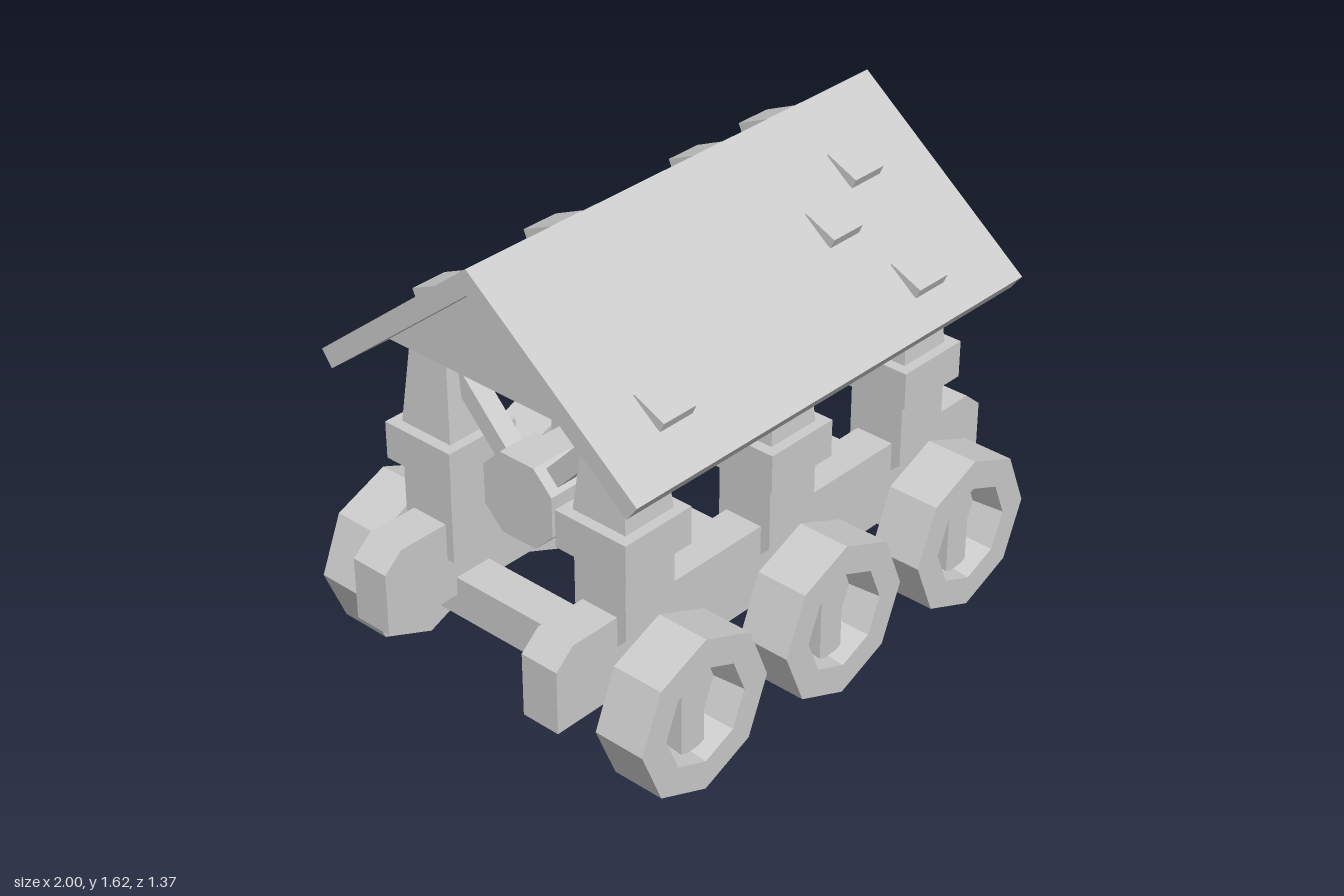
import * as THREE from 'three';

const material = new THREE.MeshStandardMaterial({ color: 0xcccccc, flatShading: true });

function add(parent, name, geometry, x = 0, y = 0, z = 0) {
  const mesh = new THREE.Mesh(geometry, material);
  mesh.name = name;
  mesh.position.set(x, y, z);
  parent.add(mesh);
  return mesh;
}

const box = (w, h, d) => new THREE.BoxGeometry(w, h, d);

// Extrudes an outline centred on its own depth axis
function prism(points, depth) {
  const shape = new THREE.Shape(points.map(([x, y]) => new THREE.Vector2(x, y)));
  const geometry = new THREE.ExtrudeGeometry(shape, { depth, bevelEnabled: false });
  return geometry.translate(0, 0, -depth / 2);
}

// Same, with the outline given as (z, y) and the depth along x
const prismX = (points, depth) =>
  prism(points.map(([z, y]) => [-z, y]).reverse(), depth).rotateY(Math.PI / 2);

// Box narrowing towards its top
function taperedBox(w, h, d, topW, topD) {
  const geometry = box(w, h, d);
  const p = geometry.attributes.position;
  for (let i = 0; i < p.count; i++) {
    if (p.getY(i) > 0) {
      p.setX(i, Math.sign(p.getX(i)) * topW / 2);
      p.setZ(i, Math.sign(p.getZ(i)) * topD / 2);
    }
  }
  geometry.computeVertexNormals();
  return geometry;
}

// Eight-sided wheel, recessed on its outer face, with a vertical plank in the recess
function makeWheel() {
  const wheel = new THREE.Group();
  wheel.name = 'wheel';
  const profile = [[0, -0.0925], [0.275, -0.0925], [0.275, 0.0925], [0.172, 0.0925], [0.16, -0.02], [0, -0.02]];
  const rim = new THREE.LatheGeometry(profile.map(([r, y]) => new THREE.Vector2(r, y)), 8);
  add(wheel, 'wheelRim', rim.rotateX(Math.PI / 2));
  add(wheel, 'wheelPlank', box(0.1, 0.31, 0.06), 0, 0, 0.01);
  return wheel;
}

// One side: beam and three posts; built for +z
function makeSide() {
  const side = new THREE.Group();
  side.name = 'sideFrame';
  const beam = [[-1, 0.28], [1, 0.28], [1, 0.5], [0.93, 0.56], [-0.93, 0.56], [-1, 0.5]];
  add(side, 'sideBeam', prism(beam, 0.14), 0, 0, 0.36);
  const foot = [[0.26, 0.43], [0.405, 0.43], [0.465, 0.49], [0.465, 0.75], [0.26, 0.75]];
  for (const x of [-0.64, 0, 0.64]) {
    add(side, 'lowerPost', prismX(foot, 0.21), x);
    add(side, 'postCollar', box(0.28, 0.13, 0.28), x, 0.795, 0.36);
    add(side, 'upperPost', taperedBox(0.205, 0.29, 0.21, 0.155, 0.155), x, 1.0, 0.36);
    const wheel = makeWheel();
    wheel.position.set(x, 0.275, 0.5925);
    side.add(wheel);
  }
  return side;
}

export function createModel() {
  const model = new THREE.Group();
  model.name = 'coveredWagon';

  // Mirrored sides
  const front = makeSide();
  const back = makeSide();
  back.rotation.y = Math.PI;
  model.add(front, back);

  // Axles, hanging eight-sided blocks and their braces
  const a = 0.142, c = 0.07;
  const octagon = [[-c, -a], [c, -a], [a, -c], [a, c], [c, a], [-c, a], [-a, c], [-a, -c]];
  for (const x of [-0.64, 0, 0.64]) {
    add(model, 'axle', box(0.14, 0.145, 1.02), x, 0.2725, 0);
    add(model, 'hangingBlock', prismX(octagon, 0.15), x, 0.763, 0);
    for (const s of [-1, 1]) {
      const brace = add(model, 'brace', box(0.07, 0.34, 0.065), x, 0.957, s * 0.19);
      brace.rotation.x = s * 0.76;
    }
  }

  // Pitched roof with a solid loft beneath it
  const roof = [[0, 1.615], [-0.645, 1.105], [-0.605, 1.052], [0, 1.53], [0.605, 1.052], [0.645, 1.105]];
  add(model, 'roof', prismX(roof, 1.77));
  add(model, 'loft', prismX([[-0.493, 1.14], [0.493, 1.14], [0, 1.53]], 1.5));

  // Lifted shingles, as x and z on the roof slopes
  const shingles = [
    [0.58, 0.2], [0.355, 0.303], [-0.595, 0.478], [0.52, 0.51],
    [-0.56, -0.45], [-0.35, -0.18], [0.39, -0.275], [0.615, -0.18],
  ];
  for (const [x, z] of shingles) {
    const y = 1.615 - 0.79 * Math.abs(z) + 0.005;
    const shingle = add(model, 'shingle', box(0.135, 0.035, 0.125), x, y, z);
    shingle.rotation.x = Math.sign(z) * 0.42;
  }
  return model;
}
